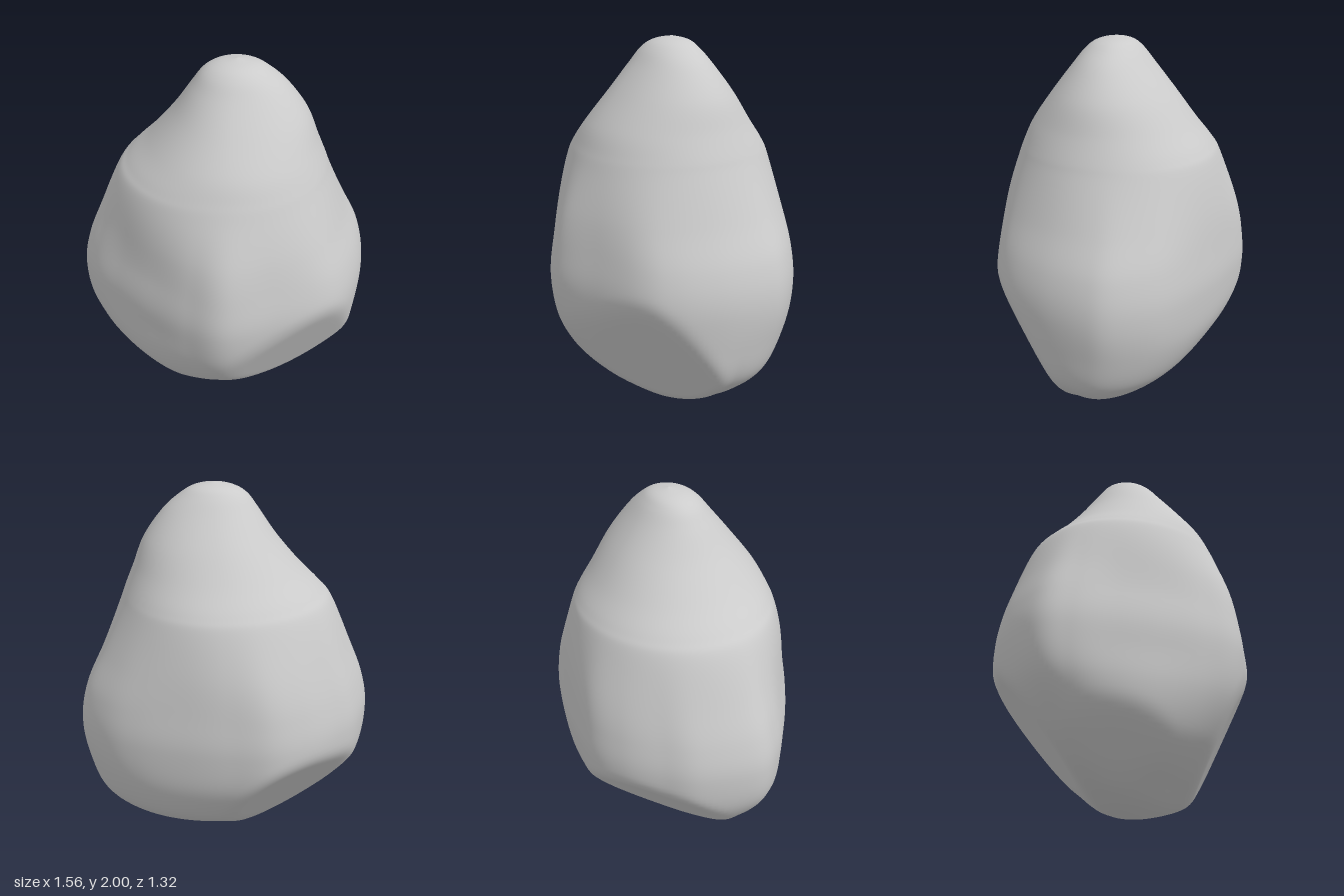
import * as THREE from 'three';

// Height levels: y, then -x, +x, -z, +z extents
const LEVELS = [
  [0, 0, 0, 0, 0], [0.015, -0.13, 0.12, -0.09, 0.08], [0.05, -0.23, 0.27, -0.15, 0.17],
  [0.11, -0.35, 0.43, -0.23, 0.26], [0.2, -0.48, 0.57, -0.36, 0.38], [0.34, -0.62, 0.7, -0.5, 0.51],
  [0.54, -0.75, 0.755, -0.62, 0.62], [0.76, -0.78, 0.775, -0.655, 0.66], [0.95, -0.745, 0.74, -0.645, 0.645],
  [1.15, -0.665, 0.65, -0.615, 0.6], [1.38, -0.565, 0.555, -0.55, 0.505], [1.46, -0.5, 0.525, -0.51, 0.47],
  [1.57, -0.39, 0.48, -0.43, 0.415], [1.72, -0.265, 0.42, -0.325, 0.305], [1.86, -0.17, 0.32, -0.215, 0.195],
  [1.94, -0.11, 0.23, -0.15, 0.13], [1.98, -0.04, 0.16, -0.1, 0.07], [2, 0.06, 0.06, -0.02, -0.02],
];

// Plan outline at the widest height: x, z
const OUTLINE = [
  [-0.78, 0], [-0.69, -0.29], [-0.56, -0.45], [-0.41, -0.58], [-0.23, -0.66], [-0.02, -0.65], [0.19, -0.61],
  [0.44, -0.53], [0.61, -0.43], [0.74, -0.27], [0.77, -0.12], [0.74, 0.1], [0.65, 0.32], [0.52, 0.46],
  [0.27, 0.575], [0.01, 0.66], [-0.19, 0.59], [-0.39, 0.46], [-0.56, 0.32], [-0.71, 0.17],
];

// Broad worn facets on the underside: normal x, y, z and distance
const FACETS = [
  [-0.55, -0.69, 0.48, 0.165],
  [-0.445, -0.62, -0.64, 0.12],
  [0.5, -0.45, 0.74, 0.255],
  [0.43, -0.67, -0.61, 0.25],
].map(([x, y, z, d]) => ({ n: new THREE.Vector3(x, y, z).normalize(), d }));
const SOFT = 0.035;

const curve = (points, closed) => new THREE.CatmullRomCurve3(points, closed, 'catmullrom', 0.5);

// Press a point softly onto every facet it sticks out of
function wear(p) {
  for (const { n, d } of FACETS) {
    const out = p.dot(n) - d;
    if (out > -SOFT) p.addScaledVector(n, -(out < SOFT ? (out + SOFT) ** 2 / (4 * SOFT) : out));
  }
  return p;
}

function boulderGeometry(rows = 130, cols = 180) {
  const xCurve = curve(LEVELS.map(([y, a, b]) => new THREE.Vector3(a, y, b)), false);
  const zCurve = curve(LEVELS.map(([y, , , a, b]) => new THREE.Vector3(a, y, b)), false);
  const outline = curve(OUTLINE.map(([x, z]) => new THREE.Vector3(x, 0, z)), true)
    .getPoints(cols)
    .map(({ x, z }) => new THREE.Vector2(x / (x < 0 ? 0.78 : 0.77), z / 0.66));
  const positions = [], index = [];
  for (let i = 0; i <= rows; i++) {
    const ex = xCurve.getPoint(i / rows), ez = zCurve.getPoint(i / rows);
    const lean = (ex.y / 2) ** 2;
    const cx = 0.06 * lean, cz = -0.02 * lean;
    const upper = THREE.MathUtils.smoothstep(ex.y, 0.95, 1.5);
    const lower = 1 - THREE.MathUtils.smoothstep(ex.y, 0.2, 0.7);
    for (let j = 0; j < cols; j++) {
      // The angular outline turns oval towards the top and fuller at the corners towards the base
      const oval = outline[j].clone().normalize();
      oval.multiplyScalar(1 + 0.14 * lower * Math.abs(oval.x * oval.y));
      const o = outline[j].clone().lerp(oval, upper + 0.8 * lower);
      // Each quadrant fits this level's extents
      const x = cx + (o.x < 0 ? -o.x * (ex.x - cx) : o.x * (ex.z - cx));
      const z = cz + (o.y < 0 ? -o.y * (ez.x - cz) : o.y * (ez.z - cz));
      const p = wear(new THREE.Vector3(x, ex.y, z));
      positions.push(p.x, p.y, p.z);
      if (i === rows) continue;
      const a = i * cols + j, b = i * cols + ((j + 1) % cols);
      const c = a + cols, d = b + cols;
      if (i > 0) index.push(b, a, c);
      if (i < rows - 1) index.push(b, c, d);
    }
  }
  const geometry = new THREE.BufferGeometry();
  geometry.setAttribute('position', new THREE.Float32BufferAttribute(positions, 3));
  geometry.setIndex(index);
  geometry.computeVertexNormals();
  return geometry;
}

export function createModel() {
  const group = new THREE.Group();
  group.name = 'rock';
  const boulder = new THREE.Mesh(
    boulderGeometry(),
    new THREE.MeshStandardMaterial({ color: 0xcccccc })
  );
  boulder.name = 'boulder';
  group.add(boulder);
  return group;
}
